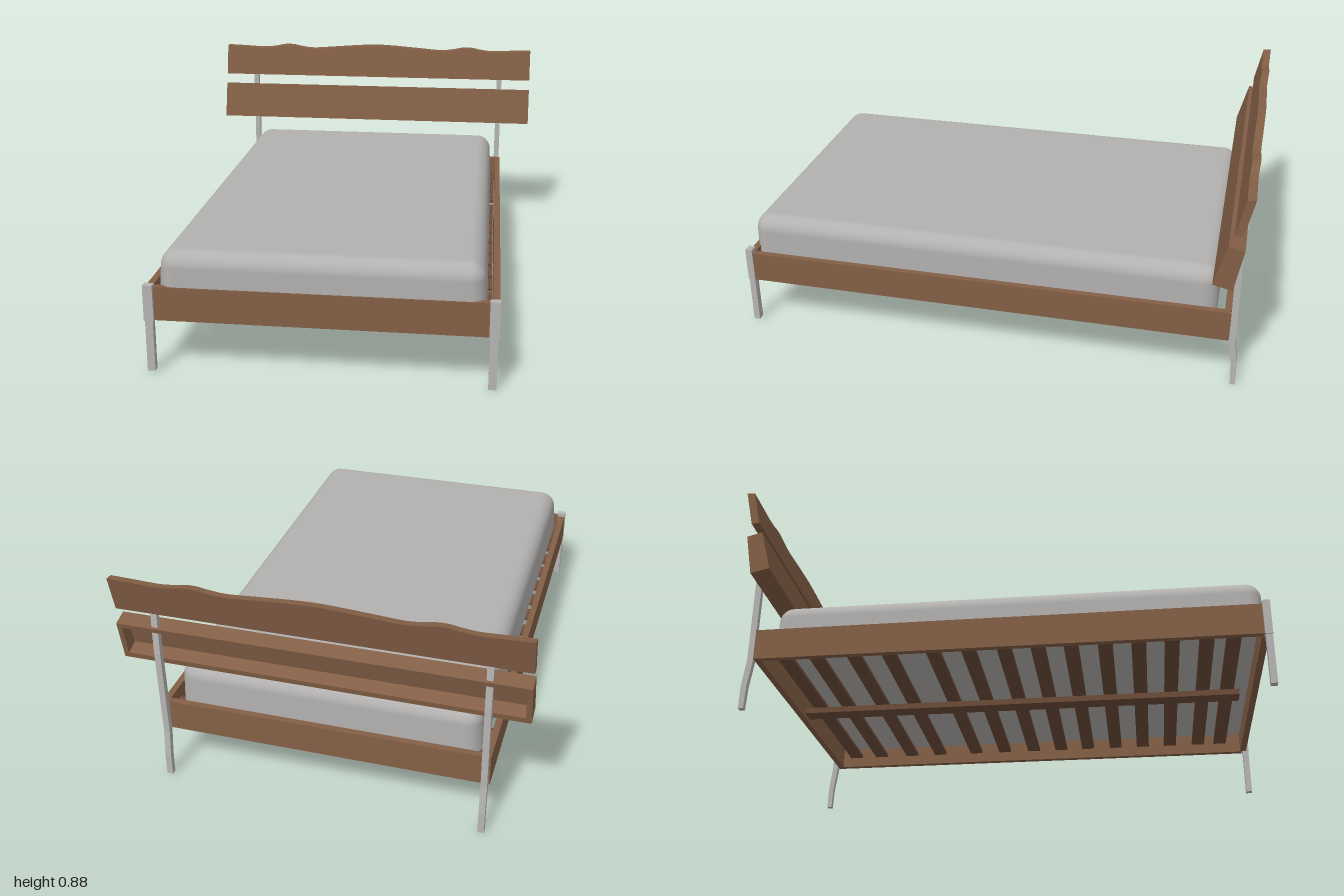
import * as THREE from 'three';
import { RoundedBoxGeometry } from 'three/addons/geometries/RoundedBoxGeometry.js';

function flatColour(name, color) {
  const material = new THREE.MeshStandardMaterial({ color });
  material.name = name;
  return material;
}
const wood = flatColour('brown wood', 0x835f46);
const slatWood = flatColour('dark slat wood', 0x6c4c39);
const metal = flatColour('grey metal', 0xb5b4b3);
const fabric = flatColour('grey fabric', 0xb3b1af);

function add(parent, name, geometry, material) {
  const mesh = new THREE.Mesh(geometry, material);
  mesh.name = name;
  parent.add(mesh);
  return mesh;
}

// Box given by its limits on each axis
function box(parent, name, material, [x0, x1], [y0, y1], [z0, z1]) {
  const mesh = add(parent, name, new THREE.BoxGeometry(x1 - x0, y1 - y0, z1 - z0), material);
  mesh.position.set((x0 + x1) / 2, (y0 + y1) / 2, (z0 + z1) / 2);
}

// Outline of [z, y] points, extruded along x from x0 to x1
function sideProfile(points, x0, x1) {
  const shape = new THREE.Shape(points.map(([z, y]) => new THREE.Vector2(z, y)));
  return new THREE.ExtrudeGeometry(shape, { depth: x1 - x0, bevelEnabled: false })
    .rotateY(-Math.PI / 2)
    .translate(x1, 0, 0);
}

// Rounded block whose lower rounding is pressed flat, narrowing towards the top
function mattressGeometry(width, height, length, radius) {
  const geometry = new RoundedBoxGeometry(width, height + radius, length, 6, radius);
  const p = geometry.attributes.position;
  const n = geometry.attributes.normal;
  const floor = (radius - height) / 2;
  for (let i = 0; i < p.count; i += 3) {
    const corners = [i, i + 1, i + 2];
    const flat = corners.every((k) => p.getY(k) < floor + 1e-4);
    for (const k of corners) {
      const y = Math.max(p.getY(k), floor);
      p.setXYZ(k, p.getX(k) * (1 - 0.1 * (y - floor)), y, p.getZ(k));
      if (flat) n.setXYZ(k, 0, -1, 0);
    }
  }
  return geometry.translate(0, -floor, 0);
}

export function createModel() {
  const bed = new THREE.Group();
  bed.name = 'bed';

  add(bed, 'mattress', mattressGeometry(1.18, 0.18, 1.878, 0.06), fabric).position.set(0, 0.279, 0.044);

  // Frame rails
  box(bed, 'footRail', wood, [-0.605, 0.605], [0.2, 0.328], [0.962, 0.988]);
  box(bed, 'headRail', wood, [-0.61, 0.61], [0.2, 0.322], [-0.95, -0.925]);

  for (const s of [-1, 1]) {
    const span = (a, b) => (s > 0 ? [a, b] : [-b, -a]);
    const side = s > 0 ? 'left' : 'right';
    box(bed, side + 'SideRail', wood, span(0.61, 0.635), [0.2, 0.322], [-0.95, 0.97]);

    // Front leg with its thicker corner post
    box(bed, side + 'FrontLeg', metal, span(0.603, 0.632), [0.004, 0.2], [0.974, 0.999]);
    box(bed, side + 'FrontPost', metal, span(0.6, 0.636), [0.2, 0.337], [0.972, 1]);

    // Back leg, swept backwards at the foot and rising to the headboard
    const [x0, x1] = span(0.606, 0.63);
    add(bed, side + 'BackLeg', sideProfile([
      [-0.99, 0], [-0.97, 0], [-0.966, 0.09], [-0.951, 0.2], [-0.95, 0.55],
      [-0.944, 0.755], [-0.964, 0.755], [-0.974, 0.55], [-0.975, 0.2], [-0.988, 0.09],
    ], x0, x1), metal);
  }

  // Slats with a domed top, and the flat beam that carries them
  const slats = new THREE.Group();
  slats.name = 'slats';
  bed.add(slats);
  const slatShape = [[-0.028, 0.242], [0.028, 0.242], [0.028, 0.255], [0.016, 0.274],
    [0, 0.281], [-0.016, 0.274], [-0.028, 0.255]];
  const slatGeometry = sideProfile(slatShape, -0.606, 0.606);
  for (const z of [-0.86, -0.737, -0.588, -0.45, -0.276, -0.138, 0, 0.13, 0.257,
    0.387, 0.514, 0.64, 0.77, 0.87]) {
    add(slats, 'slat', slatGeometry, slatWood).position.z = z;
  }
  box(bed, 'centreBeam', slatWood, [-0.036, 0.036], [0.218, 0.242], [-0.925, 0.92]);

  // Lower headboard board: a wedge hollowed out at the back
  const lower = new THREE.Group();
  lower.name = 'lowerHeadboard';
  bed.add(lower);
  const W = 0.767;
  const end = [[-0.947, 0.5], [-0.874, 0.517], [-0.918, 0.68], [-0.977, 0.664]];
  add(lower, 'boardShell', sideProfile([
    ...end, [-0.972, 0.645], [-0.93, 0.655], [-0.9, 0.54], [-0.951, 0.522],
  ], -W + 0.02, W - 0.02), wood);
  add(lower, 'rightEnd', sideProfile(end, -W, -W + 0.02), wood);
  add(lower, 'leftEnd', sideProfile(end, W - 0.02, W), wood);

  // Upper headboard board with a natural wavy top edge
  const half = [[0, 0.165], [0.08, 0.162], [0.2, 0.153], [0.32, 0.144], [0.39, 0.151],
    [0.43, 0.159], [0.475, 0.159], [0.52, 0.15], [0.58, 0.144], [0.67, 0.148]];
  const wave = [...half.slice().reverse(), ...half.slice(1).map(([x, y]) => [-x, y]), [-W, 0.152]]
    .map(([x, y]) => new THREE.Vector2(x, y));
  const edge = new THREE.Shape();
  edge.moveTo(W, 0);
  edge.lineTo(W, 0.152);
  edge.splineThru(wave);
  edge.lineTo(-W, 0);
  edge.closePath();
  const board = new THREE.ExtrudeGeometry(edge, {
    depth: 0.03, bevelEnabled: false, curveSegments: 3,
  }).translate(0, 0, -0.03);

  // Ease the front of the wavy edge and lift the back of the lower edge
  const p = board.attributes.position;
  for (let i = 0; i < p.count; i++) {
    const front = p.getZ(i) > -0.015;
    if (front && p.getY(i) > 0.1) p.setY(i, p.getY(i) - 0.01);
    if (!front && p.getY(i) < 0.1) p.setY(i, 0.005);
  }
  board.computeVertexNormals();
  const upper = add(bed, 'upperHeadboard', board, wood);
  upper.position.set(0, 0.724, -0.935);
  upper.rotation.x = -0.22;

  return bed;
}
